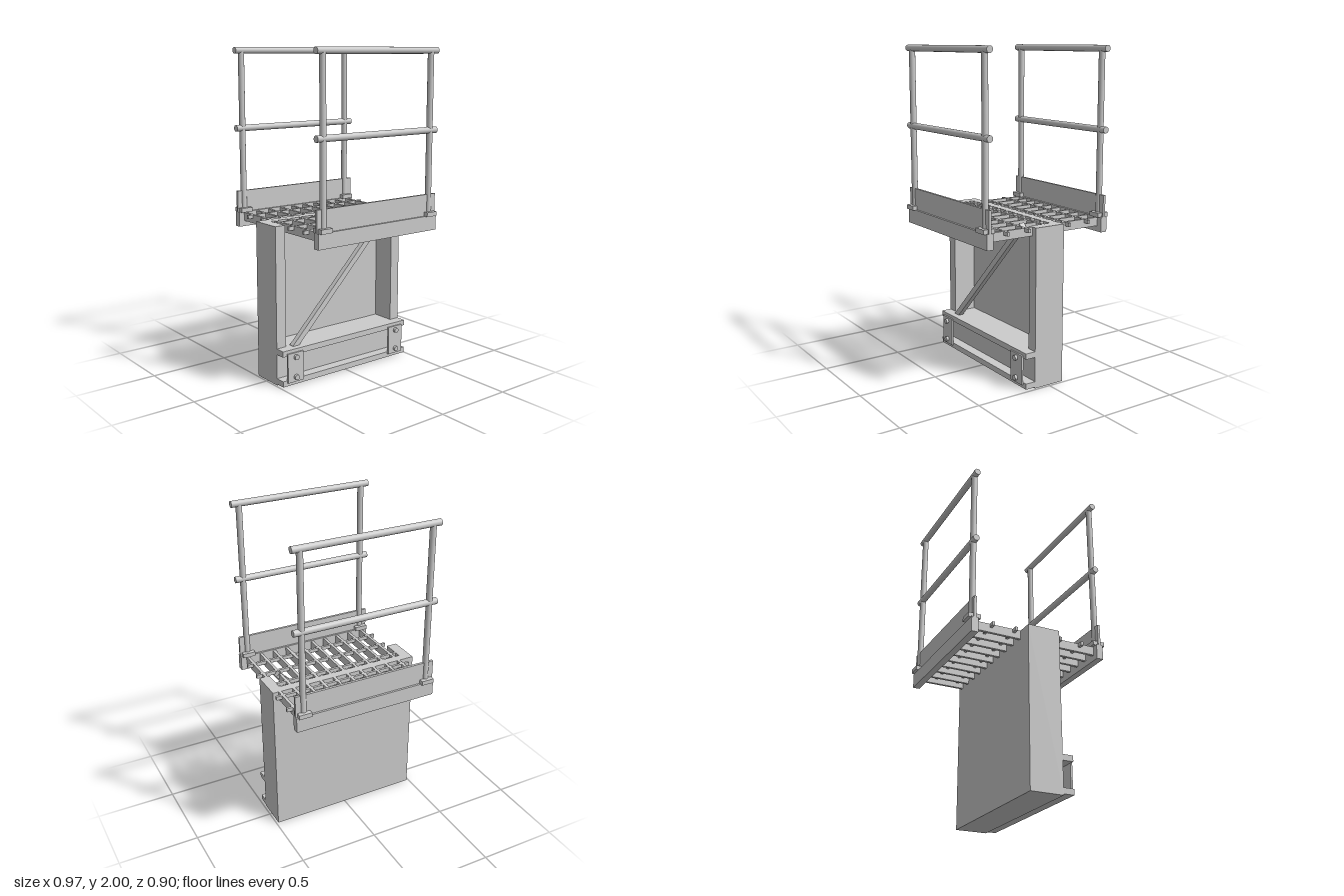
import * as THREE from 'three';

const grey = new THREE.MeshStandardMaterial({ color: 0xcccccc });

export function createModel() {
  const model = new THREE.Group();
  model.name = 'walkwayOnWall';

  const add = (name, geometry, parent = model) => {
    const mesh = new THREE.Mesh(geometry, grey);
    mesh.name = name;
    parent.add(mesh);
    return mesh;
  };

  // Box given by its limits on each axis
  const box = (name, x0, x1, y0, y1, z0, z1, parent) => {
    const mesh = add(name, new THREE.BoxGeometry(x1 - x0, y1 - y0, z1 - z0), parent);
    mesh.position.set((x0 + x1) / 2, (y0 + y1) / 2, (z0 + z1) / 2);
    return mesh;
  };

  const left = -0.488, right = 0.486, back = -0.105, front = 0.097;
  const inner = 0.42, panel = -0.05, deck = 0.975;

  // Wall: U-shaped plan, open to the front and top, with a raised floor
  const plan = new THREE.Shape([
    [left, front], [left, back], [right, back], [right, front],
    [inner, front], [inner, panel], [-inner, panel], [-inner, front],
  ].map(([x, z]) => new THREE.Vector2(x, -z)));
  const wall = new THREE.ExtrudeGeometry(plan, { depth: deck, bevelEnabled: false });
  wall.rotateX(-Math.PI / 2);
  add('wall', wall);
  box('recessFloor', -inner, inner, 0, 0.23, panel, front);

  // Diagonal brace across the recess
  const brace = add('diagonalBrace', new THREE.BoxGeometry(1.054, 0.035, 0.034));
  brace.position.set(-0.005, 0.595, 0.105);
  brace.rotation.z = Math.atan2(0.75, 0.74);

  // Lower channel: two flanges tied by bolted end plates
  const channel = new THREE.Group();
  channel.name = 'lowerChannel';
  model.add(channel);
  box('lowerFlange', left, right, 0.008, 0.043, front, 0.162, channel);
  box('upperFlange', left, right, 0.195, 0.23, front, 0.162, channel);
  for (const x of [-0.402, 0.397]) {
    box('endPlate', x - 0.057, x + 0.057, 0.028, 0.21, 0.16, 0.172, channel);
    for (const y of [0.058, 0.183]) {
      const bolt = add('bolt', new THREE.CylinderGeometry(0.016, 0.016, 0.018, 20), channel);
      bolt.rotation.x = Math.PI / 2;
      bolt.position.set(x, y, 0.179);
    }
  }

  // Grating: deep bearing bars with shallow cross rods
  const grating = new THREE.Group();
  grating.name = 'grating';
  model.add(grating);
  for (let i = 0; i < 10; i++) {
    const x = -0.383 + i * 0.0915;
    box('bearingBar', x - 0.009, x + 0.009, 0.922, deck, -0.39, 0.39, grating);
  }
  for (let i = 0; i < 5; i++) {
    const z = -0.294 + i * 0.1458;
    box('crossRod', -0.428, right, 0.952, deck, z - 0.008, z + 0.008, grating);
  }

  // Edge beam, toe board and guard rail on each side
  for (const z of [-0.41, 0.41]) {
    const side = new THREE.Group();
    side.name = z > 0 ? 'frontGuardRail' : 'backGuardRail';
    model.add(side);
    box('edgeBeam', -0.428, right, 0.887, 0.98, z - 0.021, z + 0.021, side);
    box('toeBoard', -0.428, right, 0.98, 1.113, z - 0.008, z + 0.008, side);
    for (const x of [-0.38, 0.435]) {
      box('postBase', x - 0.04, x + 0.04, 0.978, 1.005, z - 0.038, z + 0.038, side);
      const post = add('post', new THREE.CylinderGeometry(0.019, 0.019, 0.98, 24), side);
      post.position.set(x, 1.49, z);
    }
    for (const y of [1.505, 1.98]) {
      const rail = add(y > 1.6 ? 'topRail' : 'midRail', new THREE.CylinderGeometry(0.02, 0.02, 0.914, 24), side);
      rail.rotation.z = Math.PI / 2;
      rail.position.set(0.029, y, z);
    }
  }

  return model;
}
